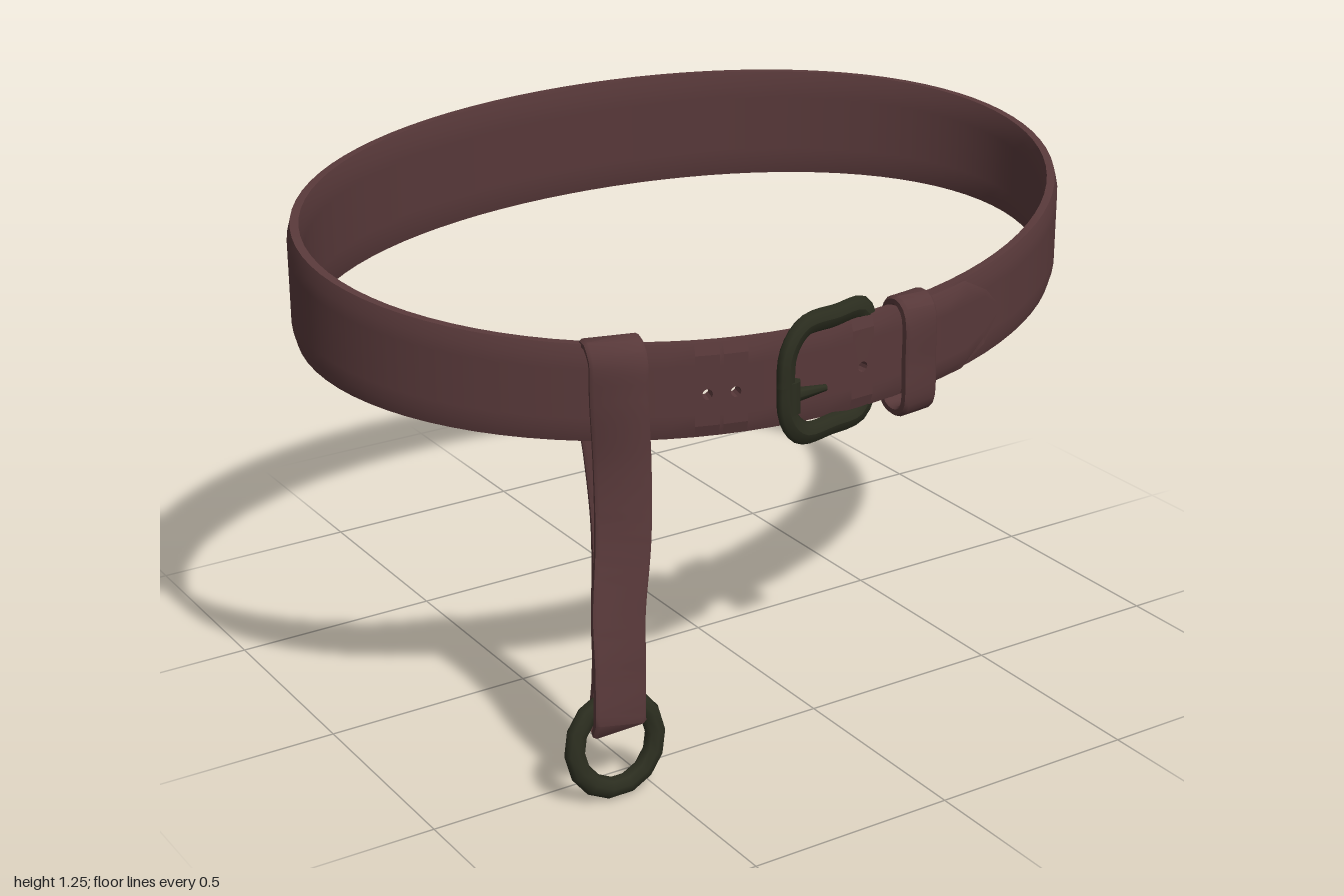
import * as THREE from 'three';
import { toCreasedNormals } from 'three/addons/utils/BufferGeometryUtils.js';

const V = (x, y, z) => new THREE.Vector3(x, y, z);

// Wraps a flat piece (x = angle from the front, y = 0..1 over the height, z = depth) round the waist
function bend(geometry) {
  const p = geometry.attributes.position;
  for (let i = 0; i < p.count; i++) {
    const u = p.getX(i), v = p.getY(i);
    const d = p.getZ(i) * (v < 0.01 || v > 0.99 ? 0.55 : 1);
    const z = Math.cos(u) * 0.583 - 0.025;
    const bottom = 0.895 - 0.19 * z - 0.075 * z * z;
    const top = 1.14 - 0.24 * z - 0.08 * z * z;
    p.setXYZ(i, Math.sin(u) * (0.981 + d), bottom + (top - bottom) * v, Math.cos(u) * (0.565 + d) - 0.025);
  }
  return toCreasedNormals(geometry, 0.6);
}

const HALF = 0.018; // half the thickness of the leather

function band(u0, u1, v0, v1, d0 = -HALF, d1 = HALF, taper = null) {
  const nu = Math.max(1, Math.ceil((u1 - u0) / 0.07));
  const nv = Math.max(1, Math.round((v1 - v0) * 8));
  const g = new THREE.BoxGeometry(u1 - u0, v1 - v0, d1 - d0, nu, nv, 1);
  g.translate((u0 + u1) / 2, (v0 + v1) / 2, (d0 + d1) / 2);
  if (taper) {
    const p = g.attributes.position;
    for (let i = 0; i < p.count; i++) p.setY(i, 0.5 + (p.getY(i) - 0.5) * taper(p.getX(i)));
  }
  return bend(g);
}

// Square of leather with a punched hole
function holeTile(u, w) {
  const s = new THREE.Shape();
  s.moveTo(u - w, 0.125).lineTo(u + w, 0.125).lineTo(u + w, 0.875).lineTo(u - w, 0.875).closePath();
  const hole = new THREE.Path();
  hole.absellipse(u, 0.46, 0.013, 0.058, 0, Math.PI * 2, true);
  s.holes.push(hole);
  const g = new THREE.ExtrudeGeometry(s, { depth: HALF * 2, bevelEnabled: false, curveSegments: 5 });
  g.translate(0, 0, -HALF);
  return bend(g);
}

// Closed flat strap swept along a loop; yaw(y) turns its width about the vertical
function ribbon(points, count, width, thick, yaw) {
  const curve = new THREE.CatmullRomCurve3(points.map(q => V(...q)), true, 'centripetal');
  const w = width / 2, t = thick / 2;
  const section = [[w, -t * 0.5], [w, t * 0.5], [w - t * 0.7, t], [t * 0.7 - w, t],
    [-w, t * 0.5], [-w, -t * 0.5], [t * 0.7 - w, -t], [w - t * 0.7, -t]];
  const pos = [], index = [], n = section.length;
  for (let i = 0; i < count; i++) {
    const p = curve.getPointAt(i / count), tan = curve.getTangentAt(i / count);
    const a = yaw(p.y), side = V(Math.cos(a), 0, Math.sin(a));
    const normal = tan.clone().cross(side).normalize();
    side.crossVectors(normal, tan).normalize();
    for (const [sx, sn] of section) {
      pos.push(...p.clone().addScaledVector(side, sx).addScaledVector(normal, sn).toArray());
    }
    for (let j = 0; j < n; j++) {
      const k = (j + 1) % n, m = ((i + 1) % count) * n;
      index.push(i * n + j, i * n + k, m + j, i * n + k, m + k, m + j);
    }
  }
  const g = new THREE.BufferGeometry();
  g.setAttribute('position', new THREE.Float32BufferAttribute(pos, 3));
  g.setIndex(index);
  return toCreasedNormals(g, 0.7);
}

export function createModel() {
  const model = new THREE.Group();
  const leather = new THREE.MeshStandardMaterial({ color: 0x573839 });
  leather.name = 'brown leather';
  const metal = new THREE.MeshStandardMaterial({ color: 0x2b2d1f });
  metal.name = 'dark metal';

  const add = (name, geometry, material, parent = model) => {
    const mesh = new THREE.Mesh(geometry, material);
    mesh.name = name;
    parent.add(mesh);
    return mesh;
  };

  // Belt: plain bands between three punched tiles
  const belt = new THREE.Group();
  belt.name = 'belt';
  model.add(belt);
  const holes = [-0.322, -0.253, 0.077], w = 0.03;
  holes.forEach((u, i) => {
    add('punchedHole', holeTile(u, w), leather, belt);
    add('holeEdgeLower', band(u - w, u + w, 0, 0.125), leather, belt);
    add('holeEdgeUpper', band(u - w, u + w, 0.875, 1), leather, belt);
    const next = i < 2 ? holes[i + 1] : holes[0] + Math.PI * 2;
    add('beltBand', band(u + w, next - w, 0, 1), leather, belt);
  });

  // Pointed end of the belt lying over the band
  add('beltTip', band(0.2, 0.54, 0.01, 0.99, 0.012, 0.032,
    u => Math.max(0.03, Math.min(1, (0.54 - u) / 0.11))), leather);

  // Keeper loop beside the buckle
  add('keeperLoop', ribbon([
    [0.218, 0.75, 0.572], [0.218, 0.86, 0.576], [0.218, 0.975, 0.568], [0.218, 0.996, 0.54],
    [0.218, 0.98, 0.503], [0.218, 0.86, 0.496], [0.218, 0.75, 0.503], [0.218, 0.735, 0.54],
  ], 40, 0.097, 0.024, () => -0.14), leather);

  // Strap folded over the belt and through the ring
  add('hangingStrap', ribbon([
    [-0.585, 0.172, 0.588], [-0.575, 0.3, 0.577], [-0.562, 0.42, 0.553], [-0.53, 0.58, 0.522],
    [-0.518, 0.74, 0.503], [-0.524, 0.9, 0.502], [-0.522, 0.99, 0.495], [-0.518, 1.016, 0.46],
    [-0.514, 0.98, 0.428], [-0.512, 0.85, 0.426], [-0.512, 0.76, 0.452], [-0.518, 0.6, 0.488],
    [-0.545, 0.42, 0.526], [-0.562, 0.28, 0.548], [-0.572, 0.185, 0.55],
  ], 90, 0.127, 0.022, y => 0.33 * THREE.MathUtils.smoothstep(y, 0.25, 0.8)), leather);

  // Ring at the end of the strap
  const ring = add('strapRing', new THREE.TorusGeometry(0.103, 0.025, 8, 14), metal);
  ring.position.set(-0.588, 0.127, 0.576);
  ring.rotation.x = -0.14;
  ring.scale.z = 0.8;

  // Buckle: rounded frame, its right bar hidden in the belt
  const buckle = new THREE.Group();
  buckle.name = 'buckle';
  model.add(buckle);
  const outline = [[-0.148, 0.875], [-0.14, 0.95], [-0.095, 0.998], [0, 1], [0.085, 0.997], [0.112, 0.95],
    [0.112, 0.8], [0.085, 0.75], [0, 0.745], [-0.095, 0.75], [-0.14, 0.8]];
  const path = new THREE.CatmullRomCurve3(outline.map(([x, y]) => V(x, y, 0)), true, 'centripetal');
  const frame = new THREE.TubeGeometry(path, 48, 0.027, 8, true);
  // Flatten the frame and lean its left side forward
  frame.scale(1, 1, 0.62);
  const fp = frame.attributes.position;
  for (let i = 0; i < fp.count; i++) fp.setZ(i, fp.getZ(i) + 0.551 - 0.2 * fp.getX(i));
  frame.computeVertexNormals();
  add('buckleFrame', frame, metal, buckle);

  // Prong with its collar
  const prong = add('buckleProng', new THREE.CylinderGeometry(0.008, 0.021, 0.11, 8), metal, buckle);
  prong.position.set(-0.09, 0.845, 0.572);
  prong.rotation.z = -Math.PI / 2;
  const collar = add('prongCollar', new THREE.CylinderGeometry(0.027, 0.027, 0.075, 8), metal, buckle);
  collar.position.set(-0.135, 0.845, 0.577);
  collar.scale.z = 0.75;

  return model;
}
